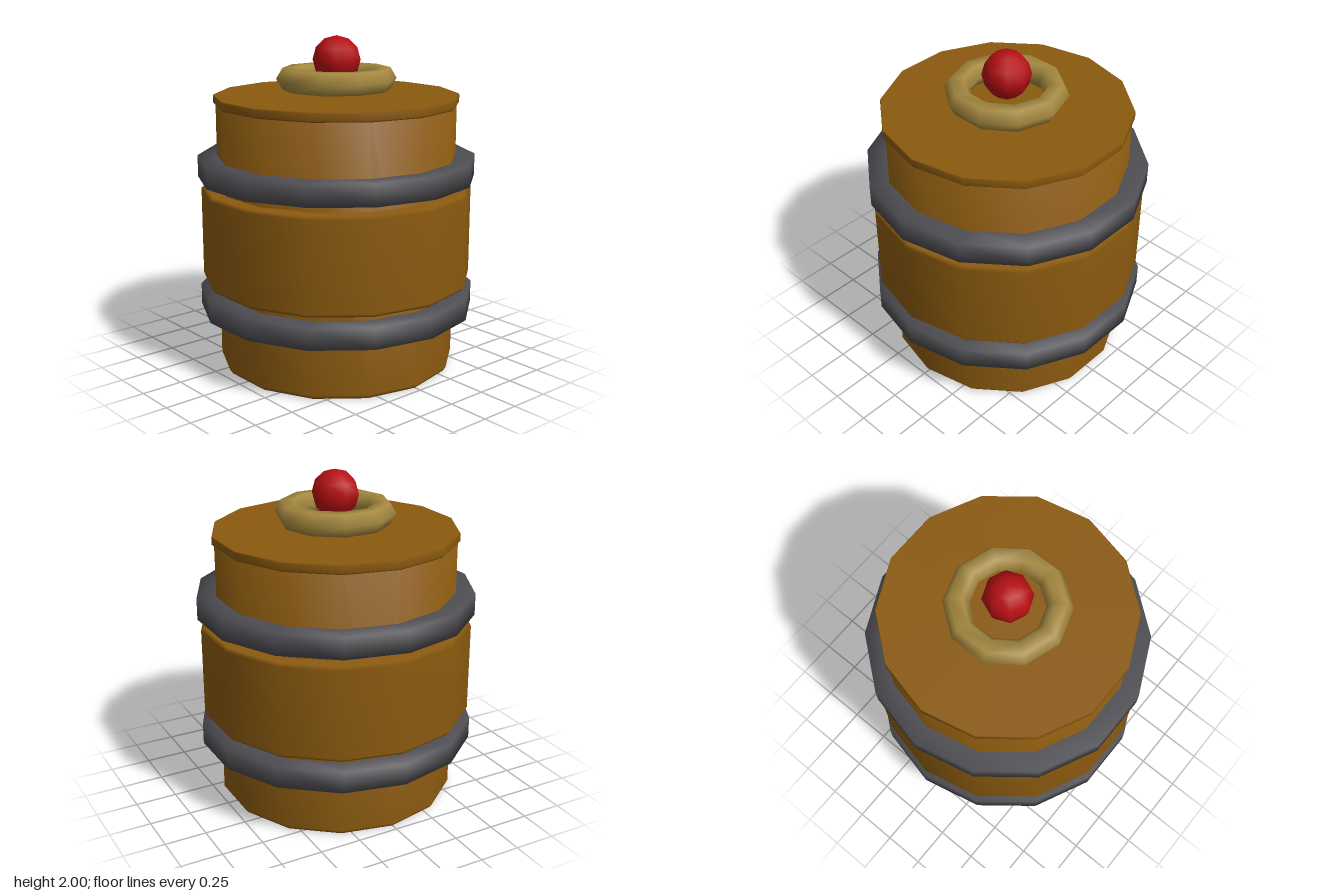
import * as THREE from 'three';

const SIDES = 14;

function material(name, color) {
  const m = new THREE.MeshStandardMaterial({ color });
  m.name = name;
  return m;
}

export function createModel() {
  const wood = material('brown wood', 0x8b5a0f);
  const iron = material('dark iron', 0x4d4d52);
  const rope = material('tan ring', 0xa5893f);
  const red = material('red knob', 0xb50f12);

  const model = new THREE.Group();
  model.name = 'barrel';

  function add(name, geometry, mat, y = 0) {
    const mesh = new THREE.Mesh(geometry, mat);
    mesh.name = name;
    mesh.position.y = y;
    model.add(mesh);
    return mesh;
  }

  // Smooth turned part; profile points are [radius, height], from bottom to top
  const turned = (profile) =>
    new THREE.LatheGeometry(profile.map(([r, y]) => new THREE.Vector2(r, y)), SIDES);

  // Straight barrel core with a small bevel at the foot
  add('barrelBody', turned([
    [0, 0], [0.705, 0], [0.723, 0.025], [0.723, 1.61], [0, 1.61],
  ]), wood);

  // Thin lid that overhangs slightly
  add('lid', turned([
    [0, 1.595], [0.728, 1.595], [0.737, 1.605], [0.737, 1.645], [0.733, 1.653], [0, 1.653],
  ]), wood);

  // Wide belly band with bevelled rims
  add('belly', turned([
    [0.7, 0.525], [0.803, 0.525], [0.822, 0.547], [0.822, 1.082], [0.803, 1.1], [0.7, 1.1],
  ]), wood);

  // Two iron hoops of square section
  for (const [name, y] of [['lowerHoop', 0.41], ['upperHoop', 1.22]]) {
    add(name, turned([
      [0.71, -0.065], [0.84, -0.065], [0.84, 0.065], [0.71, 0.065],
    ]), iron, y);
  }

  // Ring hovering over the lid, with a round knob in its middle
  const ring = new THREE.TorusGeometry(0.285, 0.075, 6, 10).rotateX(-Math.PI / 2);
  add('topRing', ring, rope, 1.745);
  add('knob', new THREE.SphereGeometry(0.143, 8, 6), red, 1.857);

  return model;
}
